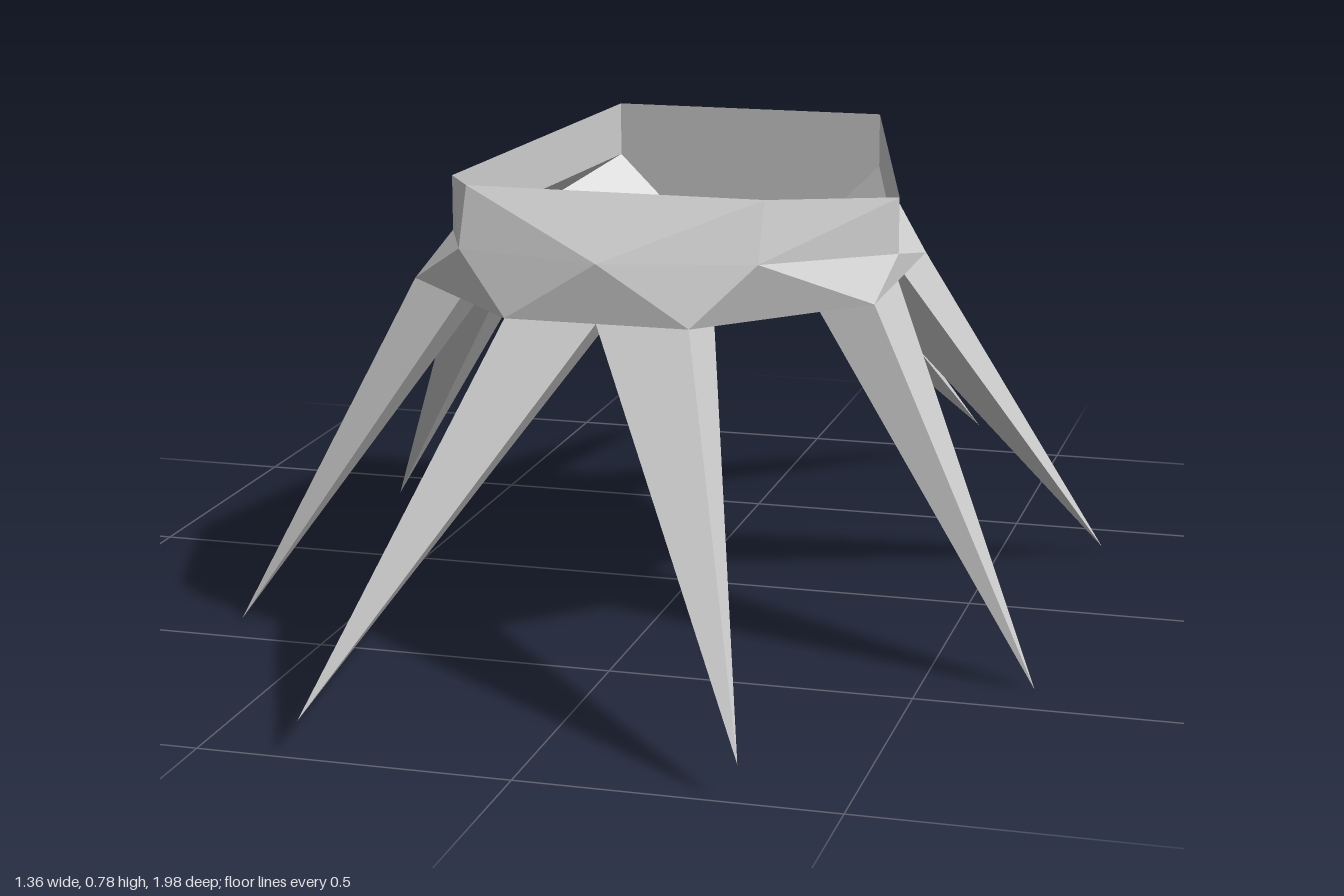
import * as THREE from 'three';

const material = new THREE.MeshStandardMaterial({
  color: 0xcccccc, flatShading: true, side: THREE.DoubleSide,
});
const BASE = 0.59;

// Faceted mesh from corner triples, each triangle counter-clockwise from outside
function facets(name, triangles) {
  const geometry = new THREE.BufferGeometry();
  geometry.setAttribute('position', new THREE.Float32BufferAttribute(triangles.flat(2), 3));
  geometry.computeVertexNormals();
  const mesh = new THREE.Mesh(geometry, material);
  mesh.name = name;
  return mesh;
}

// Open-topped four-sided spike hanging from a rectangle in the floor
function leg(name, x0, x1, z0, z1, tip) {
  const base = [[x0, BASE, z1], [x1, BASE, z1], [x1, BASE, z0], [x0, BASE, z0]];
  return facets(name, base.map((p, i) => [tip, base[(i + 1) % 4], p]));
}

// Half outlines running from the front centre, around the left side, to the back centre
const rim = [[0, 0.78, 0.46], [0.245, 0.78, 0.46], [0.39, 0.73, 0.12], [0.245, 0.78, -0.41], [0, 0.78, -0.41]];
const waist = [[0, 0.685, 0.56], [0.245, 0.685, 0.5], [0.39, 0.635, 0.12], [0.245, 0.685, -0.41], [0, 0.685, -0.41]];
const foot = [[0, 0.56], [0.15, 0.56], [0.39, 0.31], [0.39, -0.12], [0.15, -0.41], [0, -0.41]]
  .map(([x, z]) => [x, BASE, z]);

function createHalf() {
  const half = new THREE.Group();

  // Upright wall between waist and rim
  const wall = [];
  for (let i = 0; i < 4; i++) {
    wall.push([waist[i], waist[i + 1], rim[i + 1]], [waist[i], rim[i + 1], rim[i]]);
  }
  half.add(facets('upperWall', wall));

  // Faceted skirt between floor and waist
  const [b0, b1, b2, b3, b4, b5] = foot;
  const [m0, m1, m2, m3, m4] = waist;
  half.add(facets('lowerWall', [
    [b0, b1, m0], [b1, m1, m0], [b1, b2, m1], [b2, m2, m1], [b2, b3, m2],
    [b3, m3, m2], [b3, b4, m3], [b4, b5, m4], [b4, m4, m3],
  ]));

  // Legs
  half.add(
    leg('frontLeg', 0, 0.15, 0.41, 0.56, [0.34, 0.055, 0.99]),
    leg('middleFrontLeg', 0.29, 0.39, 0.12, 0.31, [0.68, 0, 0.41]),
    leg('middleBackLeg', 0.29, 0.39, -0.12, 0.07, [0.68, 0.01, -0.36]),
    leg('backLeg', 0, 0.15, -0.41, -0.32, [0.34, 0.055, -0.99]),
  );
  return half;
}

// Flat floor, notched where the legs open into it
function createFloor() {
  const side = [
    [0.15, 0.41], [0.15, 0.56], [0.39, 0.31], [0.29, 0.31], [0.29, 0.12], [0.39, 0.12],
    [0.39, 0.07], [0.29, 0.07], [0.29, -0.12], [0.39, -0.12], [0.15, -0.41], [0.15, -0.32],
  ];
  const outline = [...side, ...side.map(([x, z]) => [-x, z]).reverse()];
  const shape = new THREE.Shape(outline.map(([x, z]) => new THREE.Vector2(x, -z)));
  const geometry = new THREE.ShapeGeometry(shape).rotateX(-Math.PI / 2).translate(0, BASE, 0);
  const mesh = new THREE.Mesh(geometry, material);
  mesh.name = 'floor';
  return mesh;
}

export function createModel() {
  const model = new THREE.Group();
  model.name = 'eightLeggedTray';
  const left = createHalf();
  left.name = 'leftHalf';
  const right = createHalf();
  right.name = 'rightHalf';
  right.scale.x = -1;
  model.add(left, right, createFloor());
  return model;
}
